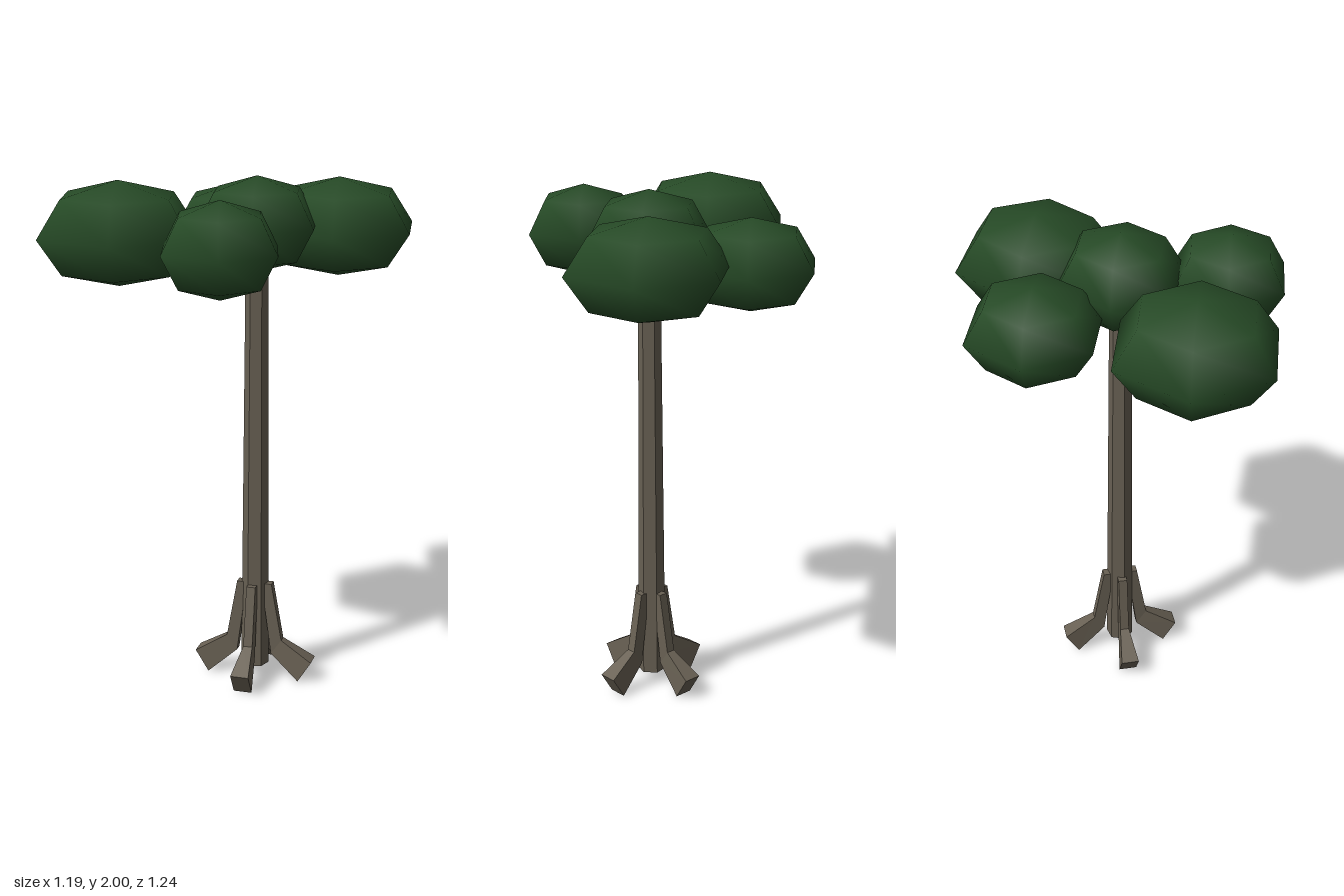
import * as THREE from 'three';

const bark = new THREE.MeshStandardMaterial({ color: 0x686053, flatShading: true });
bark.name = 'bark';
const leaf = new THREE.MeshStandardMaterial({ color: 0x264a26 });
leaf.name = 'leaf';

const TRUNK_X = 0.13;

// Bent root: four-cornered sections running down the trunk and out to the ground
function rootGeometry() {
  // [outer r, outer y, inner r, inner y, half width]
  const sections = [
    [0.07, 0.395, 0.03, 0.395, 0.018],
    [0.112, 0.16, 0.07, 0.1, 0.018],
    [0.238, 0.085, 0.185, 0.0, 0.036],
  ];
  const points = [];
  const index = [];
  for (const [ro, yo, ri, yi, w] of sections) {
    points.push(ro, yo, w, ro, yo, -w, ri, yi, -w, ri, yi, w);
  }
  for (let s = 0; s < sections.length - 1; s++) {
    for (let i = 0; i < 4; i++) {
      const a = s * 4 + i, b = s * 4 + ((i + 1) % 4);
      index.push(a, a + 4, b + 4, a, b + 4, b);
    }
  }
  const e = (sections.length - 1) * 4;
  index.push(0, 1, 2, 0, 2, 3, e, e + 2, e + 1, e, e + 3, e + 2);
  const indexed = new THREE.BufferGeometry();
  indexed.setAttribute('position', new THREE.Float32BufferAttribute(points, 3));
  indexed.setIndex(index);
  const geometry = indexed.toNonIndexed();
  geometry.computeVertexNormals();
  return geometry;
}

export function createModel() {
  const tree = new THREE.Group();
  tree.name = 'tree';

  // Six-sided tapering trunk
  const trunk = new THREE.Mesh(new THREE.CylinderGeometry(0.042, 0.055, 1.7, 6), bark);
  trunk.name = 'trunk';
  trunk.position.set(TRUNK_X, 0.9, 0);
  tree.add(trunk);

  // Four roots around the base
  const rootShape = rootGeometry();
  for (let k = 0; k < 4; k++) {
    const root = new THREE.Mesh(rootShape, bark);
    root.name = 'root';
    root.position.x = TRUNK_X;
    root.rotation.y = 0.34 + (k * Math.PI) / 2;
    tree.add(root);
  }

  // Flattened hexagonal leaf clumps: name, centre, radius, half height, turn
  const clumpShape = new THREE.SphereGeometry(1, 6, 4);
  const clumps = [
    ['middleClump', [0.13, 1.82, 0], 0.25, 0.18, 0],
    ['frontRightClump', [-0.27, 1.79, 0.325], 0.325, 0.198, 0.05],
    ['frontLeftClump', [0.24, 1.788, 0.39], 0.235, 0.178, 0.08],
    ['backLeftClump', [0.277, 1.78, -0.34], 0.318, 0.19, -0.04],
    ['backRightClump', [-0.16, 1.745, -0.27], 0.268, 0.175, 0.02],
  ];
  for (const [name, centre, radius, height, turn] of clumps) {
    const clump = new THREE.Mesh(clumpShape, leaf);
    clump.name = name;
    clump.position.set(...centre);
    clump.scale.set(radius, height, radius);
    clump.rotation.y = turn;
    tree.add(clump);
  }
  return tree;
}
